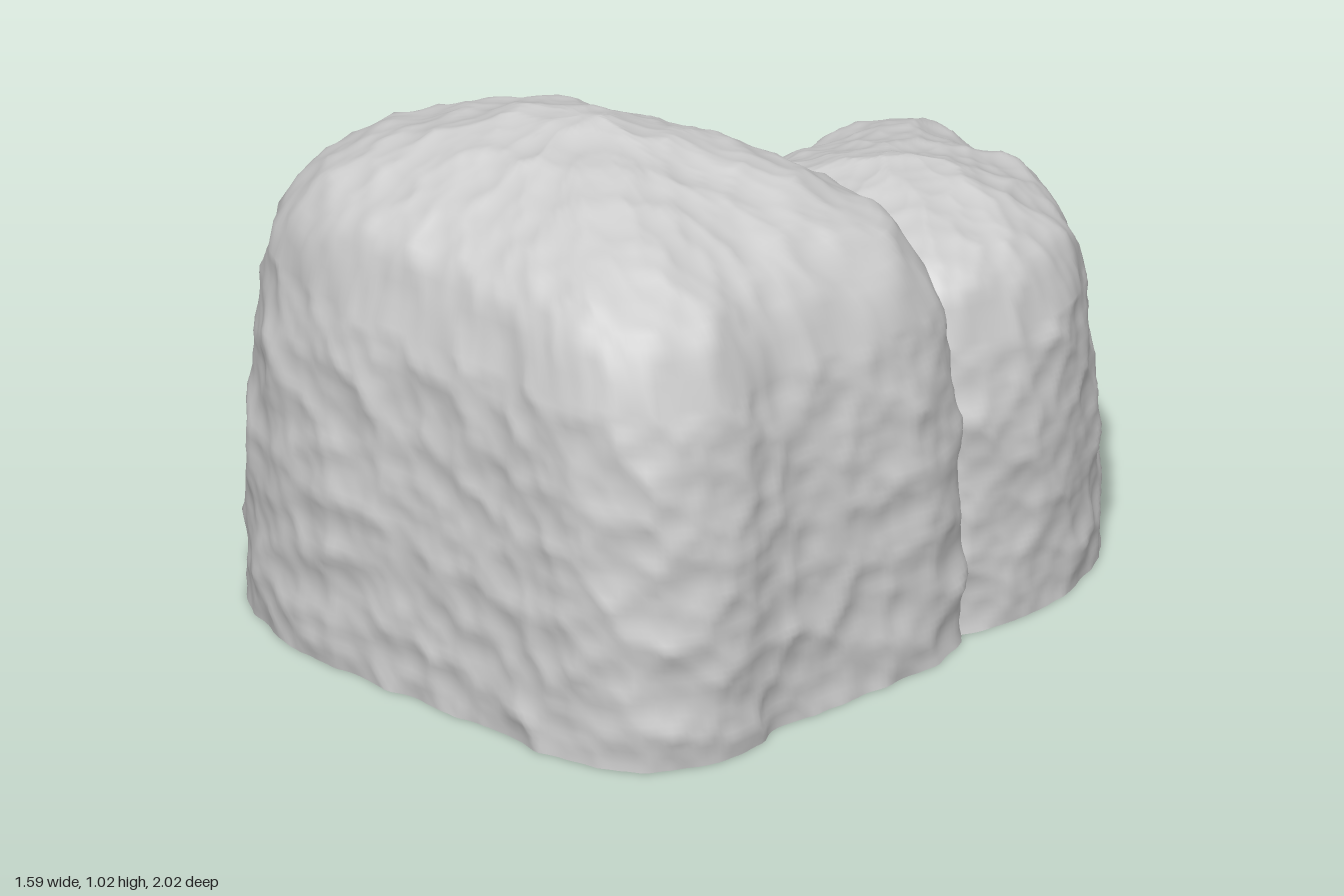
import * as THREE from 'three';

const BASE = 0.01;
const material = new THREE.MeshStandardMaterial({ color: 0xcccccc, roughness: 0.9, side: THREE.DoubleSide });

// Repeatable hash in 0..1 for a lattice cell
function hash(x, y, z, k) {
  const v = Math.sin(x * 127.1 + y * 311.7 + z * 74.7 + k * 53.3) * 43758.5453;
  return v - Math.floor(v);
}

// Chipped stone: the lowest of many small tilted facets, meeting in sharp creases
function chip(p, size) {
  const q = [p.x / size, p.y / size, p.z / size];
  const c = q.map(Math.floor);
  let low = 1e9;
  for (let i = -1; i < 2; i++) for (let j = -1; j < 2; j++) for (let k = -1; k < 2; k++) {
    const n = [c[0] + i, c[1] + j, c[2] + k];
    let value = 0.3 * hash(n[0], n[1], n[2], 3);
    for (let a = 0; a < 3; a++) {
      const d = q[a] - n[a] - hash(n[0], n[1], n[2], a);
      value += 0.7 * d * d + 0.9 * d * (hash(n[0], n[1], n[2], 4 + a) - 0.5);
    }
    low = Math.min(low, value);
  }
  return low - 0.22;
}

// Smooth closed outline through [x, z] points
function outlineOf(points, count) {
  const curve = new THREE.CatmullRomCurve3(points.map(([x, z]) => new THREE.Vector3(x, 0, z)), true);
  return curve.getSpacedPoints(count).slice(0, count);
}

// Skin rings of { s: scale towards the centre, y: height, lean: slope in x and z, rough: chip depth };
// a ring with s = 0 closes the top
function loft(outline, [cx, cz], rings, cell) {
  const n = outline.length, pos = [], index = [], rough = [];
  rings.forEach((r, i) => {
    const closed = r.s === 0, [lx, lz] = r.lean;
    for (let j = 0; j < (closed ? 1 : n); j++) {
      const dx = (outline[j].x - cx) * r.s, dz = (outline[j].z - cz) * r.s;
      pos.push(cx + dx, r.y + lx * dx + lz * dz, cz + dz);
      rough.push(r.rough);
    }
    if (i === 0) return;
    for (let j = 0; j < n; j++) {
      const a = (i - 1) * n + j, b = (i - 1) * n + (j + 1) % n;
      if (closed) index.push(a, i * n, b);
      else index.push(a, a + n, b + n, a, b + n, b);
    }
  });
  const geo = new THREE.BufferGeometry();
  geo.setAttribute('position', new THREE.Float32BufferAttribute(pos, 3));
  geo.setIndex(index);
  geo.computeVertexNormals();
  // Push the surface in and out along its normals
  const P = geo.attributes.position, N = geo.attributes.normal;
  const p = new THREE.Vector3(), nor = new THREE.Vector3();
  for (let i = 0; i < P.count; i++) {
    if (!rough[i]) continue;
    p.fromBufferAttribute(P, i);
    nor.fromBufferAttribute(N, i);
    const d = rough[i] * (chip(p, cell) + 0.4 * chip(p, cell * 0.6));
    p.addScaledVector(nor, d);
    P.setXYZ(i, p.x, Math.max(p.y, BASE), p.z);
  }
  geo.computeVertexNormals();
  return geo;
}

// Tall boulder: steep walls that round over into a domed top
function boulder(name, points, { peak, shoulder, top, lean }) {
  const rings = [], rough = 0.024;
  const addRing = (s, v) => rings.push({
    s, rough, lean: lean.map((l) => l * v),
    y: BASE + (shoulder - BASE) * v + (top - shoulder) * (1 - Math.pow(s, 1.7)),
  });
  for (let i = 0; i <= 50; i++) {
    const v = 0.85 * i / 50;
    addRing(Math.pow(1 - v * v * v, 1 / 13), v);
  }
  const edge = rings[50].s;
  for (let i = 1; i <= 38; i++) {
    const s = i === 38 ? 0 : edge * (1 - i / 38);
    addRing(s, Math.cbrt(1 - Math.pow(s, 13)));
  }
  const mesh = new THREE.Mesh(loft(outlineOf(points, 260), peak, rings, 0.085), material);
  mesh.name = name;
  return mesh;
}

// Low stepping slab: chipped wall with a rounded rim and a flat top
function slab(name, points, centre, h) {
  const group = new THREE.Group();
  group.name = name;
  const outline = outlineOf(points, 190), rings = [], rim = 0.03, inset = 0.06, lean = [0, 0];
  for (let i = 0; i <= 16; i++) rings.push({ s: 1, y: BASE + (h - rim - BASE) * i / 16, rough: 0.026, lean });
  for (let i = 1; i <= 6; i++) {
    const a = i / 6 * Math.PI / 2;
    rings.push({
      s: 1 - inset * (1 - Math.cos(a)), y: h - rim + rim * Math.sin(a), rough: i === 6 ? 0 : 0.024, lean,
    });
  }
  const wall = new THREE.Mesh(loft(outline, centre, rings, 0.08), material);
  wall.name = name + 'Wall';
  const capRings = [1 - inset, 0].map((s) => ({ s, y: h, rough: 0, lean }));
  const cap = new THREE.Mesh(loft(outline, centre, capRings, 1), material);
  cap.name = name + 'Top';
  group.add(wall, cap);
  return group;
}

export function createModel() {
  const model = new THREE.Group();
  model.name = 'rockCluster';

  model.add(boulder('largeBoulder', [
    [-0.78, 0.12], [-0.72, 0.0], [-0.58, -0.08], [-0.4, -0.11], [-0.2, -0.08], [-0.05, 0.02], [0.13, 0.17],
    [0.3, 0.3], [0.42, 0.45], [0.455, 0.57], [0.38, 0.68], [0.2, 0.78], [0.05, 0.87], [-0.05, 0.96],
    [-0.19, 0.995], [-0.33, 0.94], [-0.45, 0.78], [-0.58, 0.6], [-0.72, 0.4], [-0.78, 0.24],
  ], { peak: [-0.2, 0.33], shoulder: 0.815, top: 1.02, lean: [-0.03, 0] }));

  model.add(boulder('mediumBoulder', [
    [0.5, -0.39], [0.59, -0.345], [0.66, -0.19], [0.73, -0.05], [0.78, 0.1], [0.77, 0.28], [0.705, 0.42],
    [0.58, 0.52], [0.45, 0.57], [0.25, 0.5], [0.08, 0.3], [-0.05, 0.05], [0.0, -0.05], [0.12, -0.14],
    [0.27, -0.23], [0.4, -0.35],
  ], { peak: [0.45, 0.14], shoulder: 0.635, top: 0.78, lean: [0, 0.08] }));

  // The slabs run on under the rocks that overlap them
  model.add(slab('upperSlab', [
    [-0.54, -0.5], [-0.45, -0.555], [-0.2, -0.58], [0.05, -0.56], [0.3, -0.565], [0.39, -0.52], [0.41, -0.4],
    [0.38, -0.22], [0.38, -0.05], [0.31, 0.13], [0.17, 0.24], [0.0, 0.25], [-0.26, 0.18], [-0.48, 0.04],
    [-0.545, -0.1], [-0.565, -0.25], [-0.58, -0.4],
  ], [-0.08, -0.18], 0.4));

  model.add(slab('leftSlab', [
    [0.07, -0.73], [0.15, -0.785], [0.28, -0.77], [0.4, -0.795], [0.53, -0.785], [0.63, -0.7], [0.67, -0.62],
    [0.7, -0.52], [0.68, -0.38], [0.6, -0.32], [0.45, -0.3], [0.3, -0.35], [0.15, -0.5], [0.08, -0.62],
  ], [0.4, -0.57], 0.325));

  model.add(slab('rightSlab', [
    [-0.48, -0.75], [-0.43, -0.825], [-0.35, -0.83], [-0.27, -0.79], [-0.17, -0.755], [-0.12, -0.68],
    [-0.13, -0.59], [-0.18, -0.46], [-0.33, -0.42], [-0.46, -0.5], [-0.485, -0.65],
  ], [-0.31, -0.64], 0.355));

  model.add(slab('backSlab', [
    [-0.3, -0.8], [-0.2, -0.93], [-0.05, -0.99], [0.1, -0.965], [0.22, -0.87], [0.28, -0.78], [0.27, -0.6],
    [0.12, -0.45], [-0.15, -0.45], [-0.29, -0.6],
  ], [-0.02, -0.72], 0.25));

  return model;
}
